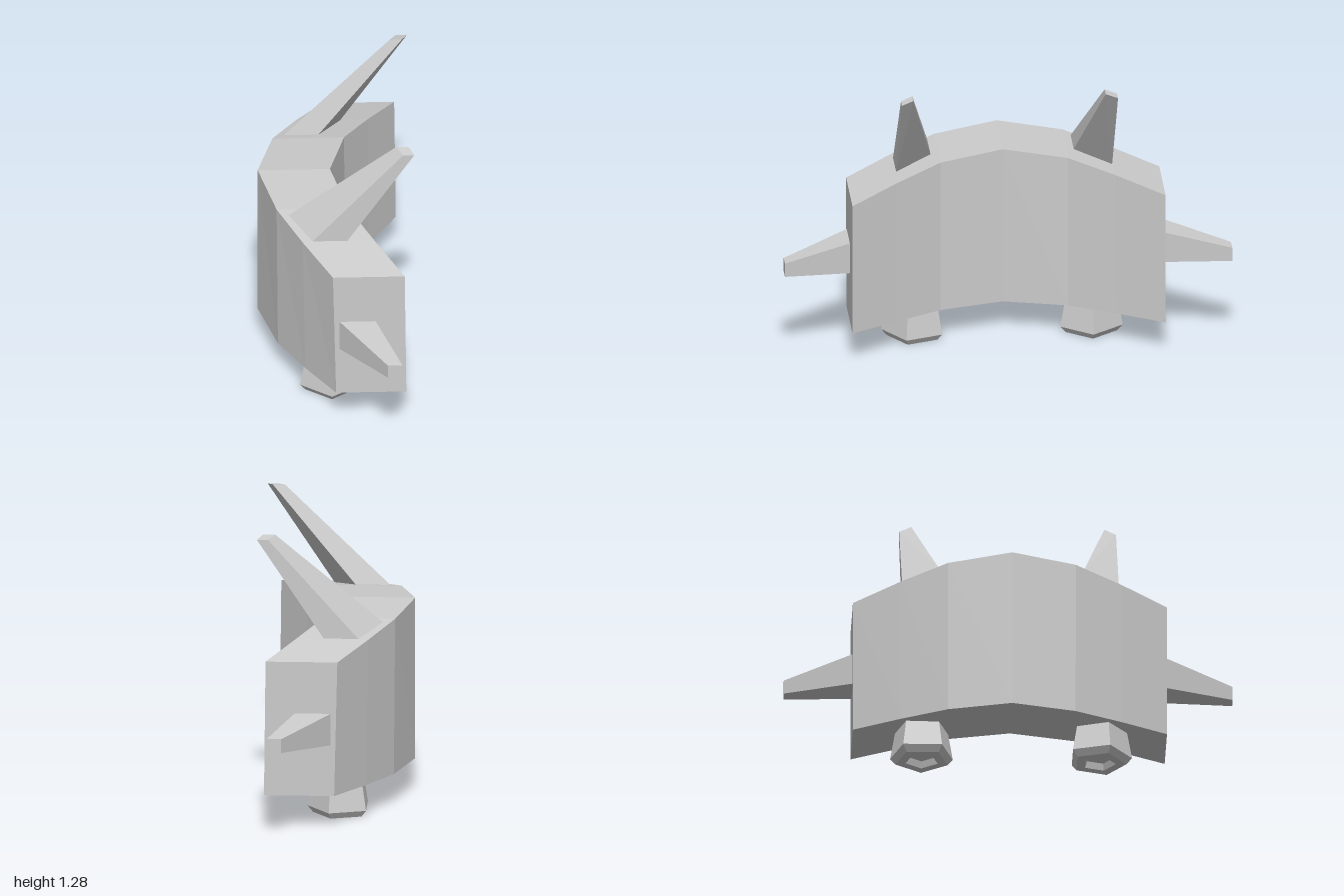
import * as THREE from 'three';
import { ConvexGeometry } from 'three/addons/geometries/ConvexGeometry.js';

const material = new THREE.MeshStandardMaterial({ color: 0xcccccc, flatShading: true });

function addMesh(group, name, geometry) {
  const mesh = new THREE.Mesh(geometry, material);
  mesh.name = name;
  group.add(mesh);
  return mesh;
}

// Closed loft through four-cornered sections that run towards +z,
// each counter-clockwise as seen from +z.
function loft(sections) {
  const positions = sections.flat(2);
  const index = [];
  for (let i = 0; i < sections.length - 1; i++) {
    for (let j = 0; j < 4; j++) {
      const a = i * 4 + j, b = i * 4 + (j + 1) % 4;
      index.push(a, b, b + 4, a, b + 4, a + 4);
    }
  }
  const e = (sections.length - 1) * 4;
  index.push(0, 2, 1, 0, 3, 2, e, e + 1, e + 2, e, e + 2, e + 3);
  const g = new THREE.BufferGeometry();
  g.setAttribute('position', new THREE.Float32BufferAttribute(positions, 3));
  g.setIndex(index);
  const flat = g.toNonIndexed();
  flat.computeVertexNormals();
  return flat;
}

// Tapered solid around corner points, with z mirrored by side
function hull(points, side) {
  return new ConvexGeometry(points.map(([x, y, z]) => new THREE.Vector3(x, y, z * side)));
}

export function createModel() {
  const group = new THREE.Group();

  // Curved body: z, back x, inner x, top y, bottom y
  const half = [
    [0, -0.342, -0.02, 0.887, 0.147],
    [0.285, -0.267, 0.053, 0.865, 0.149],
    [0.49, -0.157, 0.165, 0.822, 0.152],
    [0.7, -0.03, 0.29, 0.772, 0.156],
  ];
  const stations = [
    ...half.slice(1).reverse().map(([z, ...rest]) => [-z, ...rest]),
    ...half,
  ];
  addMesh(group, 'body', loft(stations.map(([z, x0, x1, top, bottom]) => {
    const lean = 0.02 * Math.abs(z);
    return [[x0 + lean, bottom, z], [x1 + lean / 2, bottom, z], [x1, top, z], [x0, top, z]];
  })));

  // Five-sided foot profile with a recessed sole
  const footProfile = [
    [0, 0.03], [0.065, 0.03], [0.075, 0], [0.122, 0], [0.147, 0.03], [0.125, 0.15], [0.125, 0.17],
  ].map(([r, y]) => new THREE.Vector2(r, y));

  for (const side of [1, -1]) {
    const label = side > 0 ? 'front' : 'rear';

    // Slanted horn on the top
    addMesh(group, label + 'Horn', hull([
      [-0.215, 0.858, 0.32], [-0.06, 0.858, 0.32], [-0.115, 0.821, 0.483], [0.04, 0.821, 0.483],
      [0.26, 1.285, 0.43], [0.315, 1.285, 0.43], [0.29, 1.275, 0.483], [0.34, 1.275, 0.483],
    ], side));

    // Spike on the end face
    addMesh(group, label + 'Spike', hull([
      [0, 0.39, 0.7], [0.16, 0.39, 0.7], [0.16, 0.535, 0.7], [0, 0.535, 0.7],
      [0.205, 0.432, 1], [0.27, 0.432, 1], [0.27, 0.496, 1], [0.205, 0.496, 1],
    ], side));

    // Foot, turned so one corner points outwards along the curve
    const foot = addMesh(group, label + 'Foot', new THREE.LatheGeometry(footProfile, 5));
    foot.position.set(-0.028, 0, side > 0 ? 0.397 : -0.393);
    foot.rotation.y = side > 0 ? 0 : Math.PI / 2;
  }
  return group;
}
